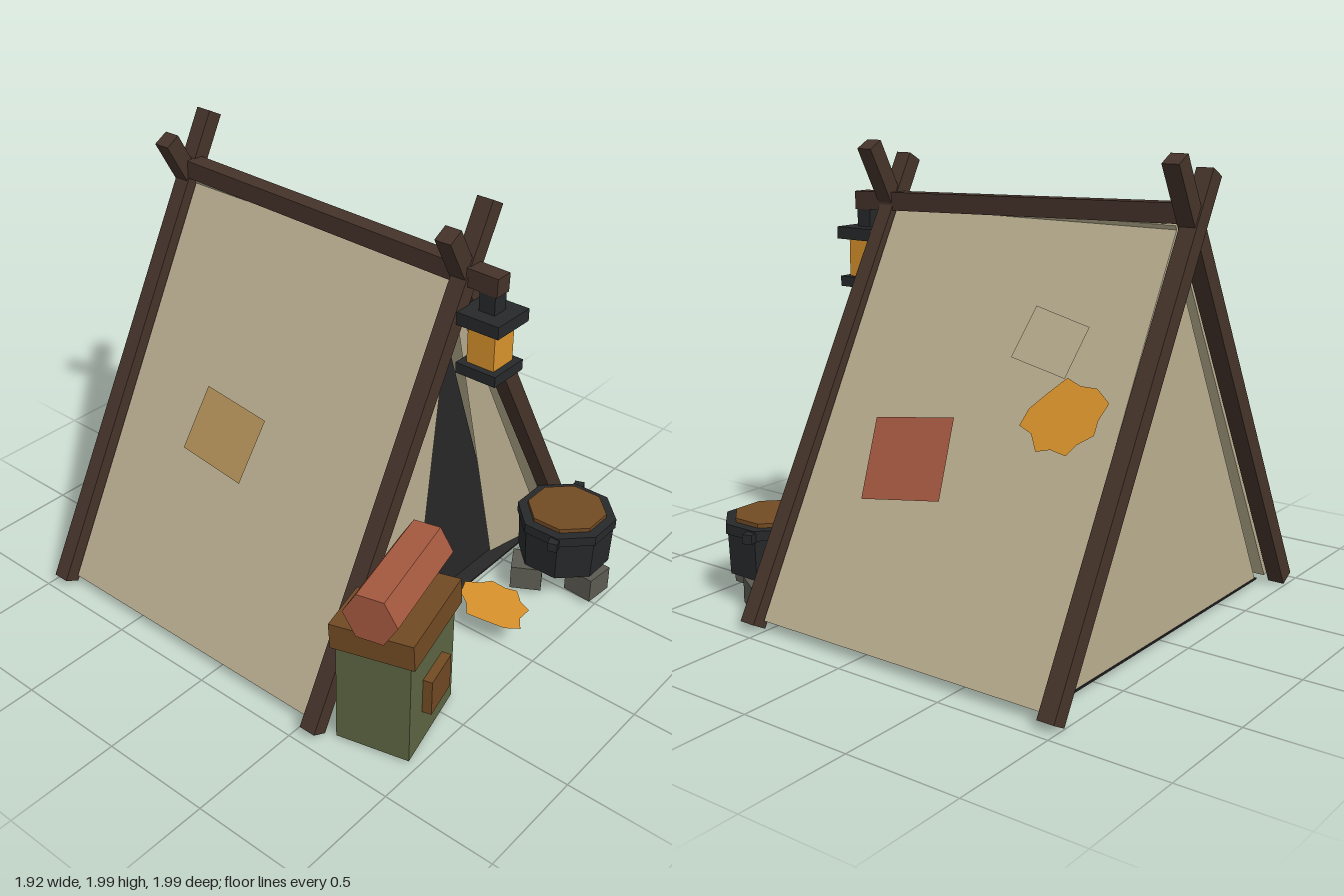
import * as THREE from 'three';

const colours = {
  canvas: 0xb9ae90, wood: 0x45332a, shadow: 0x272727, iron: 0x26282a, amber: 0xd9922c,
  red: 0xa4583f, green: 0x5d6642, brown: 0x714a23, stone: 0x5c5b52, tan: 0xb18f59,
};
const mat = {};
for (const [name, color] of Object.entries(colours)) {
  mat[name] = new THREE.MeshStandardMaterial({ color, flatShading: true });
  mat[name].name = name;
}
for (const n of ['canvas', 'shadow', 'amber', 'red', 'tan']) mat[n].side = THREE.DoubleSide;

function add(parent, name, geometry, material, x = 0, y = 0, z = 0) {
  const mesh = new THREE.Mesh(geometry, material);
  mesh.name = name;
  mesh.position.set(x, y, z);
  parent.add(mesh);
  return mesh;
}
const box = (w, h, d) => new THREE.BoxGeometry(w, h, d);

// Flat polygon from [u, v] points
const polygon = (pts) => new THREE.ShapeGeometry(new THREE.Shape(pts.map(([u, v]) => new THREE.Vector2(u, v))));

// Square timber between two points
function beam(parent, name, a, b, width) {
  const from = new THREE.Vector3(...a), to = new THREE.Vector3(...b);
  const mesh = add(parent, name, box(width, width, from.distanceTo(to)), mat.wood);
  mesh.position.copy(from).lerp(to, 0.5);
  mesh.lookAt(to);
}

// Outer roof surface: |x| = (TOP - y) / SLOPE
const TOP = 1.73, SLOPE = 1.862;

// Patch lying on a roof slope, given as [z, y] points
function roofPatch(parent, name, pts, side, material) {
  const geo = polygon(pts.map(([z, y]) => [-side * z, y]));
  const p = geo.attributes.position;
  for (let i = 0; i < p.count; i++) {
    const z = -side * p.getX(i), y = p.getY(i);
    p.setXYZ(i, side * ((TOP - y) / SLOPE + 0.022), y, z);
  }
  geo.computeVertexNormals();
  add(parent, name, geo, material);
}

const leafOutline = [
  [-0.027, 0.133], [0.04, 0.112], [0.117, 0.112], [0.186, 0.069], [0.16, 0.005], [0.16, -0.048],
  [0.096, -0.09], [0.064, -0.133], [-0.011, -0.122], [-0.074, -0.138], [-0.117, -0.08],
  [-0.181, -0.059], [-0.16, 0.005], [-0.096, 0.069],
];

function buildTent(root) {
  const tent = new THREE.Group();
  tent.name = 'tent';
  root.add(tent);

  // Crossed poles and ridge
  for (const [label, z] of [['front', 0.56], ['back', -0.955]]) {
    beam(tent, label + 'PoleToRight', [-0.93, 0.022, z + 0.004], [0.135, 1.978, z + 0.004], 0.076);
    beam(tent, label + 'PoleToLeft', [0.925, 0.022, z - 0.003], [-0.12, 1.915, z - 0.003], 0.076);
  }
  beam(tent, 'ridgePole', [-0.003, 1.72, 0.74], [-0.003, 1.765, -0.96], 0.08);

  // Sloping canvas sheets
  const angle = Math.atan(SLOPE), t = 0.03, foot = 0.905;
  const length = foot / Math.cos(angle);
  for (const s of [-1, 1]) {
    const sheet = add(tent, s > 0 ? 'leftRoofSheet' : 'rightRoofSheet', box(length, t, 1.41), mat.canvas);
    sheet.position.set(
      s * (foot / 2 - Math.sin(angle) * t / 2),
      TOP - SLOPE * foot / 2 - Math.cos(angle) * t / 2, -0.195);
    sheet.rotation.z = -s * angle;
  }

  // End wall, entrance and floor
  add(tent, 'backWall', polygon([[-0.82, 0.03], [0.82, 0.03], [0, 1.62]]), mat.canvas, 0, 0, -0.88);
  add(tent, 'entrance', polygon([[-0.3, 0.03], [0.56, 0.03], [0, 1.58]]), mat.shadow, 0, 0, 0.42);
  add(tent, 'groundSheet', box(1.66, 0.008, 1.38), mat.shadow, 0, 0.026, -0.195);

  // Door flaps, the left one folded inwards
  add(tent, 'rightFlap', polygon([[-0.82, 0.03], [-0.195, 0.03], [-0.01, 1.6]]), mat.canvas, 0, 0, 0.5);
  const flap = polygon([[0.485, 0.03], [0.82, 0.03], [0.01, 1.6]]);
  const p = flap.attributes.position;
  for (let i = 0; i < p.count; i++) p.setZ(i, p.getX(i) > 0.4 && p.getX(i) < 0.6 ? 0.43 : 0.5);
  flap.computeVertexNormals();
  add(tent, 'leftFlap', flap, mat.canvas);

  // Patches and a fallen leaf on the roof
  roofPatch(tent, 'redPatch', [[0.24, 0.88], [-0.15, 0.93], [-0.2, 0.628], [0.187, 0.574]], 1, mat.red);
  roofPatch(tent, 'canvasPatch', [[-0.383, 1.378], [-0.654, 1.325], [-0.61, 1.133], [-0.335, 1.18]], 1, mat.canvas);
  roofPatch(tent, 'tanPatch', [[-0.505, 0.74], [-0.474, 1.0], [-0.126, 0.97], [-0.158, 0.71]], -1, mat.tan);
  roofPatch(tent, 'roofLeaf', leafOutline.map(([u, v]) => [-0.649 - u, 1.005 + v]), 1, mat.amber);
}

function buildLantern(root) {
  const lantern = new THREE.Group();
  lantern.name = 'lantern';
  lantern.position.set(-0.005, 0, 0.695);
  root.add(lantern);
  // [name, width, bottom, top, material]
  for (const [name, w, y0, y1, m] of [
    ['lanternBase', 0.188, 1.332, 1.378, mat.iron],
    ['lanternGlass', 0.128, 1.378, 1.55, mat.amber],
    ['lanternCap', 0.205, 1.548, 1.602, mat.iron],
    ['lanternHook', 0.074, 1.602, 1.69, mat.iron],
  ]) add(lantern, name, box(w, y1 - y0, w), m, 0, (y0 + y1) / 2, 0);
}

function buildPack(root) {
  const pack = new THREE.Group();
  pack.name = 'backpack';
  pack.position.set(-0.64, 0, 0.755);
  pack.rotation.y = 0.24;
  root.add(pack);
  add(pack, 'packBody', box(0.42, 0.49, 0.32), mat.green, 0, 0.257, 0);
  add(pack, 'packLid', box(0.455, 0.115, 0.36), mat.brown, 0, 0.547, 0).rotation.x = -0.06;
  add(pack, 'packPocket', box(0.185, 0.165, 0.05), mat.brown, 0, 0.257, 0.175);
  // Hexagonal bedroll with flat top and bottom
  const roll = new THREE.CylinderGeometry(0.116, 0.116, 0.52, 6);
  roll.rotateZ(Math.PI / 2);
  add(pack, 'bedroll', roll, mat.red, 0.01, 0.7, 0.004);
}

function buildPot(root) {
  const pot = new THREE.Group();
  pot.name = 'cookingPot';
  pot.position.set(0.578, 0, 0.768);
  root.add(pot);
  const octagon = (top, bottom, h) => new THREE.CylinderGeometry(top, bottom, h, 8).rotateY(Math.PI / 8);
  add(pot, 'potBody', octagon(0.216, 0.208, 0.2), mat.iron, 0, 0.24, 0);
  add(pot, 'potRim', octagon(0.224, 0.224, 0.045), mat.iron, 0, 0.347, 0);
  add(pot, 'stew', octagon(0.178, 0.178, 0.03), mat.brown, 0, 0.373, 0);
  const handles = new THREE.Group();
  handles.name = 'handles';
  handles.rotation.y = 0.33;
  pot.add(handles);
  for (const s of [-1, 1]) add(handles, 'handle', box(0.06, 0.042, 0.045), mat.iron, s * 0.228, 0.342, 0);
  // Hearth stones
  for (const [x, z, turn] of [[-0.03, 0.152, -0.08], [0.165, -0.09, 1.05], [-0.155, -0.09, -1.05]]) {
    add(pot, 'hearthStone', box(0.14, 0.115, 0.14), mat.stone, x, 0.082, z).rotation.y = turn;
  }
}

export function createModel() {
  const root = new THREE.Group();
  root.name = 'campsite';
  buildTent(root);
  buildLantern(root);
  buildPack(root);
  buildPot(root);
  // Leaf lying before the entrance
  const leaf = add(root, 'groundLeaf', polygon(leafOutline), mat.amber, 0.075, 0.125, 0.735);
  leaf.rotation.set(-Math.PI / 2, 0, 0.95);
  return root;
}
